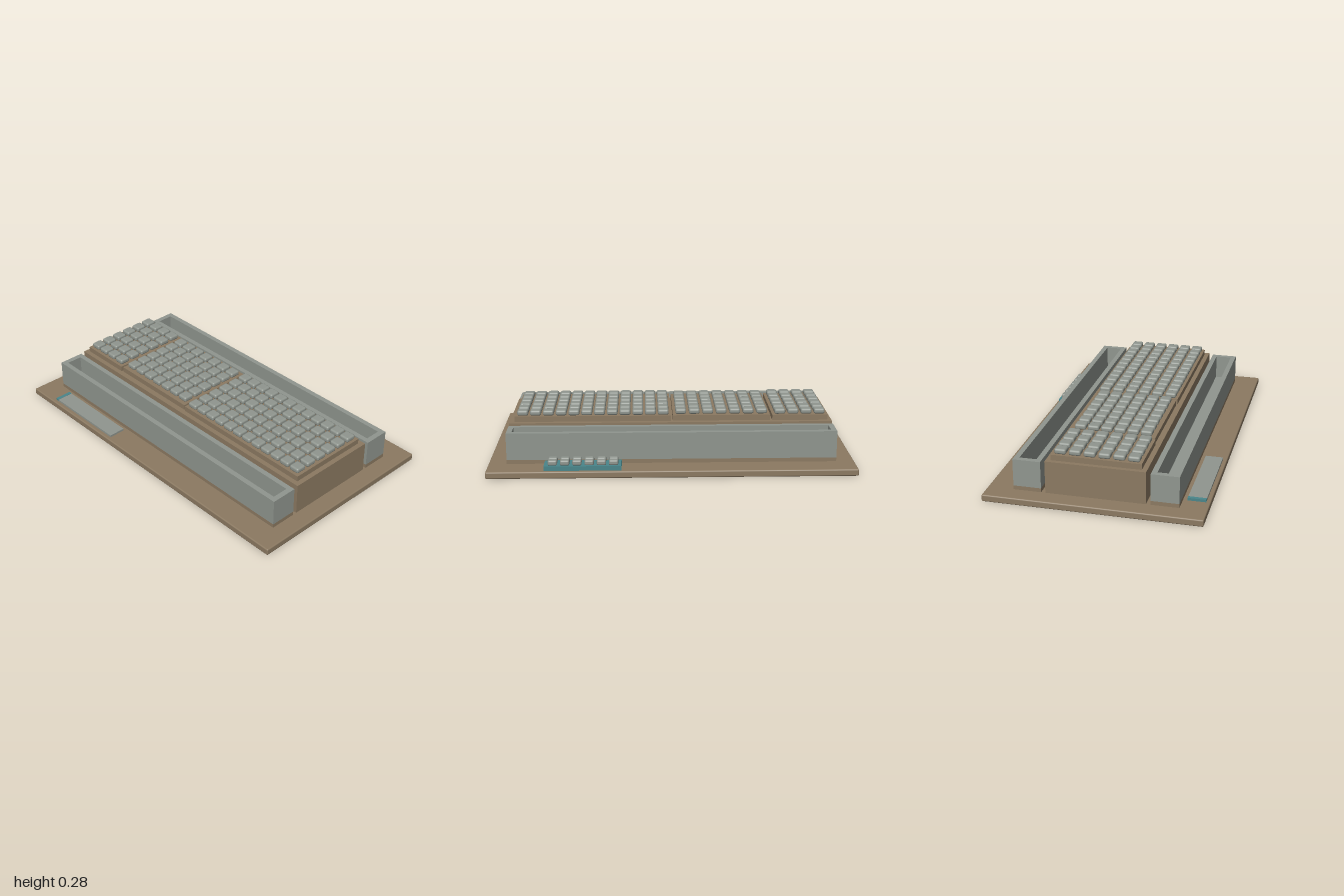
import * as THREE from 'three';
import { RoundedBoxGeometry } from 'three/addons/geometries/RoundedBoxGeometry.js';

export function createModel() {
  const model = new THREE.Group();
  model.name = 'keyboardBlock';
  const mat = (name, color) => {
    const m = new THREE.MeshStandardMaterial({ color });
    m.name = name;
    return m;
  };
  const brown = mat('brown', 0x8c7a62);
  const grey = mat('grey', 0x90968f);
  const teal = mat('teal', 0x4a868b);

  const add = (name, geometry, material, x, y, z, parent = model) => {
    const mesh = new THREE.Mesh(geometry, material);
    mesh.name = name;
    mesh.position.set(x, y, z);
    parent.add(mesh);
    return mesh;
  };
  // Box given by its limits on each axis
  const box = (name, material, x0, x1, y0, y1, z0, z1, parent) =>
    add(name, new THREE.BoxGeometry(x1 - x0, y1 - y0, z1 - z0), material,
      (x0 + x1) / 2, (y0 + y1) / 2, (z0 + z1) / 2, parent);

  // Base plate with softened edges, and the central block
  const plateTop = 0.038;
  add('basePlate', new RoundedBoxGeometry(2, plateTop, 1.164, 2, 0.007), brown, 0, plateTop / 2, 0);
  box('centreBlock', brown, -0.9, 0.9, plateTop, 0.217, -0.267, 0.267);

  // Long open trays in front of and behind the block
  const rect = (path, w, d) => path.moveTo(-w, -d).lineTo(w, -d).lineTo(w, d).lineTo(-w, d).closePath();
  const rim = rect(new THREE.Shape(), 0.9, 0.075);
  rim.holes.push(rect(new THREE.Path(), 0.87, 0.046));
  const wallGeometry = new THREE.ExtrudeGeometry(rim, { depth: 0.15, bevelEnabled: false });
  wallGeometry.rotateX(-Math.PI / 2);
  for (const side of [1, -1]) {
    const z = side * 0.365;
    const tray = new THREE.Group();
    tray.name = side > 0 ? 'frontTray' : 'backTray';
    model.add(tray);
    box('trayBase', brown, -0.9, 0.9, plateTop, 0.06, z - 0.075, z + 0.075, tray);
    add('trayWalls', wallGeometry, grey, 0, 0.06, z, tray);
    box('trayFloor', grey, -0.87, 0.87, 0.06, 0.07, z - 0.046, z + 0.046, tray);
  }

  // Grid of softened keys centred on (cx, cz)
  const keyGrid = (name, geometry, cols, rows, pitchX, pitchZ, cx, y, cz) => {
    const group = new THREE.Group();
    group.name = name;
    model.add(group);
    for (let c = 0; c < cols; c++) {
      for (let r = 0; r < rows; r++) {
        add('key', geometry, grey, cx + (c - (cols - 1) / 2) * pitchX, y,
          cz + (r - (rows - 1) / 2) * pitchZ, group);
      }
    }
  };

  // Three key pads side by side on the block
  const key = new RoundedBoxGeometry(0.061, 0.03, 0.063, 2, 0.011);
  box('leftPad', brown, -0.877, -0.567, 0.217, 0.248, -0.24, 0.24);
  box('middlePad', brown, -0.556, -0.01, 0.217, 0.248, -0.235, 0.235);
  box('rightPad', brown, 0, 0.872, 0.217, 0.248, -0.24, 0.24);
  keyGrid('leftKeys', key, 4, 6, 0.074, 0.078, -0.723, 0.262, 0);
  keyGrid('middleKeys', key, 7, 6, 0.0758, 0.073, -0.283, 0.262, 0);
  keyGrid('rightKeys', key, 12, 6, 0.0714, 0.078, 0.436, 0.262, 0);

  // Small keypad at the back
  box('smallKeypad', teal, 0.274, 0.69, plateTop, 0.063, -0.564, -0.457);
  const smallKey = new RoundedBoxGeometry(0.05, 0.029, 0.037, 2, 0.009);
  keyGrid('smallKeys', smallKey, 6, 2, 0.0655, 0.046, 0.48, 0.076, -0.51);

  // Flat strip at the front with a coloured end
  box('flatStrip', grey, -0.788, -0.288, plateTop, 0.05, 0.463, 0.56);
  box('stripEnd', teal, -0.808, -0.788, plateTop, 0.052, 0.463, 0.56);

  return model;
}
